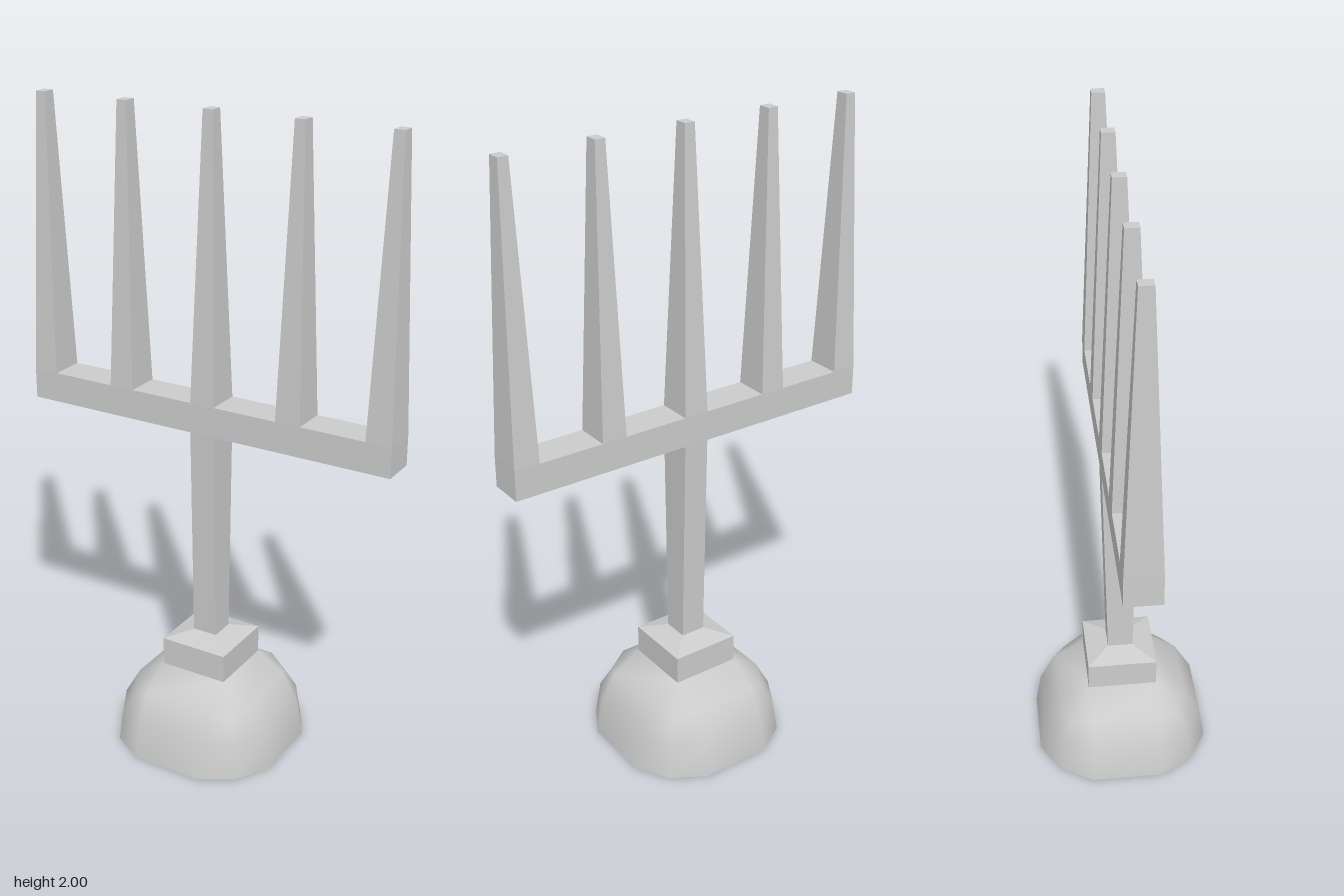
import * as THREE from 'three';
import { mergeVertices } from 'three/addons/utils/BufferGeometryUtils.js';

// Joins rings of [x, y, z] points (counter-clockwise from above), bottom to top
function loft(rings, { capTop = false, smooth = false } = {}) {
  const n = rings[0].length, index = [];
  for (let r = 0; r < rings.length - 1; r++) {
    for (let i = 0; i < n; i++) {
      const a = r * n + i, b = r * n + (i + 1) % n;
      index.push(a, b, b + n, a, b + n, a + n);
    }
  }
  const top = (rings.length - 1) * n;
  if (capTop) for (let i = 1; i < n - 1; i++) index.push(top, top + i, top + i + 1);
  let geo = new THREE.BufferGeometry();
  geo.setAttribute('position', new THREE.Float32BufferAttribute(rings.flat(2), 3));
  geo.setIndex(index);
  geo = smooth ? mergeVertices(geo) : geo.toNonIndexed();
  geo.computeVertexNormals();
  return geo;
}

const rect = (y, hx, hz = hx) => [[hx, y, hz], [hx, y, -hz], [-hx, y, -hz], [-hx, y, hz]];

// Twelve-sided ring of a rounded cube: side points (b, a) and diagonal corners (c, c)
function domeRing(y, a, b, c, cornerY = y) {
  const ring = [];
  let quadrant = [[b, y, -a], [c, cornerY, -c], [a, y, -b]];
  for (let q = 0; q < 4; q++) {
    ring.push(...quadrant);
    quadrant = quadrant.map(([x, py, z]) => [z, py, -x]);
  }
  return ring;
}

export function createModel() {
  const group = new THREE.Group();
  const flat = new THREE.MeshStandardMaterial({ color: 0xcccccc, flatShading: true, side: THREE.DoubleSide });
  const soft = new THREE.MeshStandardMaterial({ color: 0xcccccc, side: THREE.DoubleSide });
  const add = (name, geometry, material = flat) => {
    const mesh = new THREE.Mesh(geometry, material);
    mesh.name = name;
    group.add(mesh);
    return mesh;
  };

  // Hollow dome foot, open underneath
  add('domeBase', loft([
    domeRing(0, 0.113, 0.275, 0.215),
    domeRing(0.11, 0.11, 0.257, 0.203),
    domeRing(0.203, 0.11, 0.203, 0.175, 0.175),
    domeRing(0.26, 0.11, 0.11, 0.11),
  ], { smooth: true }), soft);

  // Square collar with a sloped shoulder
  add('collar', loft([rect(0.26, 0.11), rect(0.35, 0.11), rect(0.372, 0.04)]));

  // Stem, deepening towards the crossbar
  add('stem', loft([rect(0.372, 0.04), rect(1.05, 0.04, 0.055)]));

  // Crossbar
  add('crossbar', new THREE.BoxGeometry(1.22, 0.094, 0.11)).position.y = 1.097;

  // Five tapered tines
  const tine = loft([rect(1.144, 0.04, 0.055), rect(2, 0.016, 0.02)], { capTop: true });
  for (let i = -2; i <= 2; i++) add(`tine${i + 3}`, tine).position.x = i * 0.285;

  return group;
}
